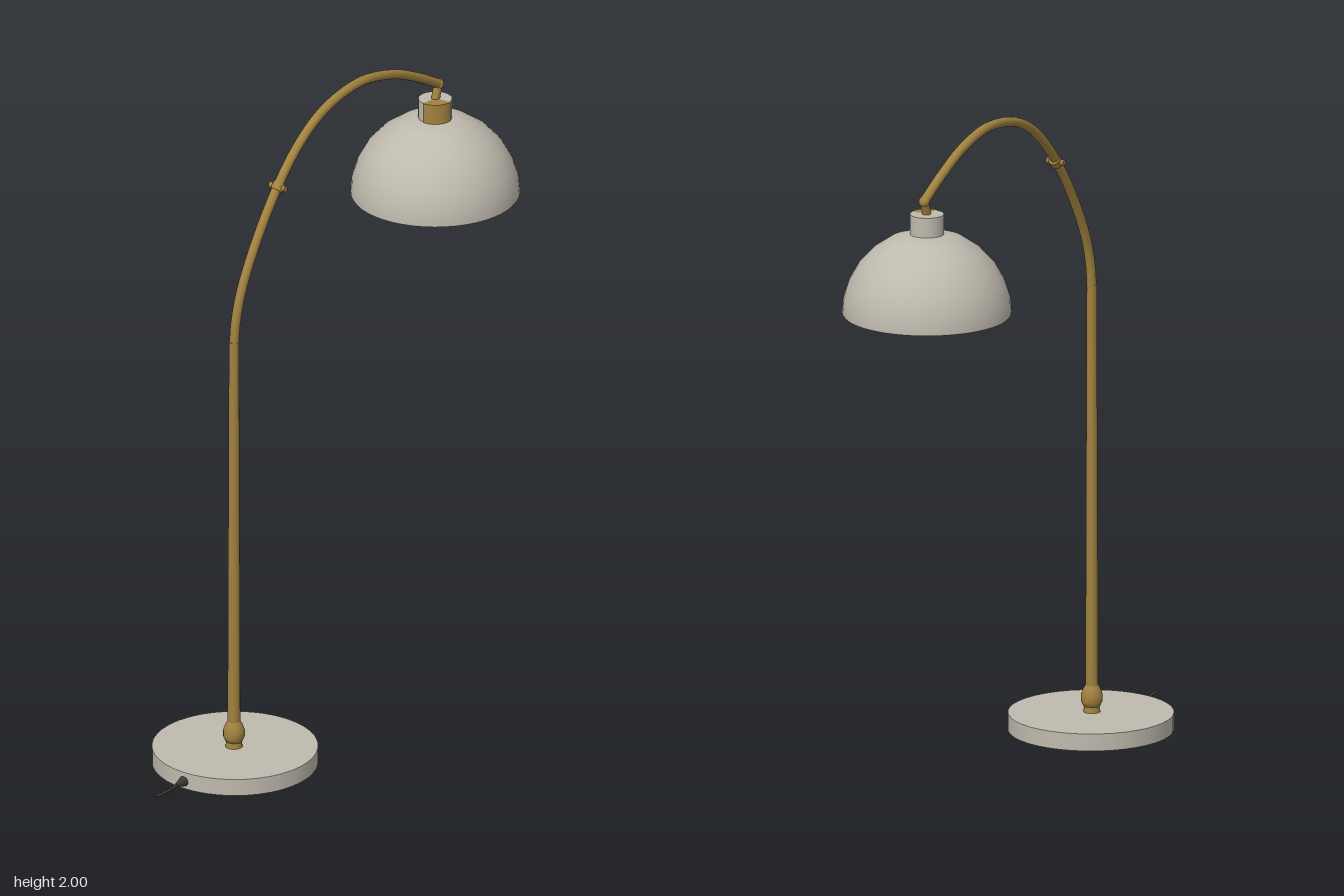
import * as THREE from 'three';

const mat = (name, color, side = THREE.FrontSide) => {
  const m = new THREE.MeshStandardMaterial({ color, side });
  m.name = name;
  return m;
};

export function createModel() {
  const lamp = new THREE.Group();
  lamp.name = 'floorLamp';
  const stone = mat('warmGrey', 0xbfbaae, THREE.DoubleSide);
  const brass = mat('agedBrass', 0xa1823f);
  const dark = mat('darkCable', 0x3d372f);
  const baseZ = 0.41, shadeZ = -0.55;

  const add = (name, geometry, material, x, y, z) => {
    const mesh = new THREE.Mesh(geometry, material);
    mesh.name = name;
    mesh.position.set(x, y, z);
    lamp.add(mesh);
    return mesh;
  };
  const lathe = (pts, n = 40) =>
    new THREE.LatheGeometry(pts.map(([r, y]) => new THREE.Vector2(r, y)), n);
  const curve = (pts) =>
    new THREE.CatmullRomCurve3(pts.map(([y, z]) => new THREE.Vector3(0, y, z)));

  // Disc base
  add('base', new THREE.CylinderGeometry(0.245, 0.245, 0.052, 40), stone, 0, 0.029, baseZ - 0.005);
  add('baseFoot', new THREE.CylinderGeometry(0.236, 0.236, 0.006, 40), stone, 0, 0.003, baseZ - 0.005);

  // Fitting that joins the pole to the base
  add('poleStem', new THREE.CylinderGeometry(0.022, 0.026, 0.03, 16), brass, 0, 0.065, baseZ);
  add('poleKnuckle', lathe([[0, 0.07], [0.025, 0.073], [0.032, 0.088], [0.032, 0.108],
    [0.026, 0.125], [0.018, 0.138]], 20), brass, 0, 0, baseZ);

  // Straight pole and the arch that carries the shade
  add('pole', new THREE.CylinderGeometry(0.015, 0.019, 1.24, 16), brass, 0, 0.74, baseZ);
  const arch = curve([[1.34, 0.41], [1.42, 0.402], [1.53, 0.367], [1.735, 0.243], [1.88, 0.11],
    [1.957, -0.02], [1.985, -0.19], [1.957, -0.34], [1.9, -0.47], [1.847, -0.566]]);
  add('arch', new THREE.TubeGeometry(arch, 60, 0.0145, 12), brass, 0, 0, 0);
  add('archTip', new THREE.SphereGeometry(0.0165, 12, 8), brass, 0, 1.846, -0.566);
  const hanger = curve([[1.846, -0.566], [1.82, -0.556], [1.79, -0.548]]);
  add('hanger', new THREE.TubeGeometry(hanger, 6, 0.013, 10), brass, 0, 0, 0);

  // Clamp across the arch
  const pin = add('archClampPin', new THREE.CylinderGeometry(0.009, 0.009, 0.058, 10), brass, 0, 1.785, 0.2);
  pin.rotation.z = Math.PI / 2;
  const ring = add('archClampRing', new THREE.CylinderGeometry(0.019, 0.019, 0.025, 14), brass, 0, 1.785, 0.2);
  ring.rotation.x = -0.75;

  // Dome shade
  add('shade', lathe([[0.247, 1.5], [0.25, 1.505], [0.246, 1.55], [0.23, 1.6], [0.202, 1.65],
    [0.16, 1.695], [0.108, 1.73], [0.065, 1.744], [0, 1.747]], 48), stone, 0, 0, shadeZ);

  // Collar on the shade, with a brass segment facing front left
  add('shadeCollar', new THREE.CylinderGeometry(0.05, 0.05, 0.066, 28), stone, 0, 1.772, shadeZ);
  add('collarPlate', new THREE.CylinderGeometry(0.053, 0.053, 0.068, 14, 1, false,
    -0.08, Math.PI / 2 + 0.16), brass, 0, 1.772, shadeZ);

  // Socket and bulb inside the shade
  add('socket', new THREE.CylinderGeometry(0.028, 0.028, 0.12, 16), brass, 0, 1.685, shadeZ);
  add('bulb', new THREE.SphereGeometry(0.048, 20, 14), brass, 0, 1.595, shadeZ);

  // Cable leaving the front of the base
  const grip = add('cableGrip', new THREE.CylinderGeometry(0.005, 0.017, 0.04, 12), dark, 0, 0.026, 0.665);
  grip.rotation.x = Math.PI / 2;
  const cable = curve([[0.026, 0.64], [0.023, 0.7], [0.022, 0.74], [0.025, 0.79]]);
  add('cable', new THREE.TubeGeometry(cable, 12, 0.005, 8), dark, 0, 0, 0);

  return lamp;
}
